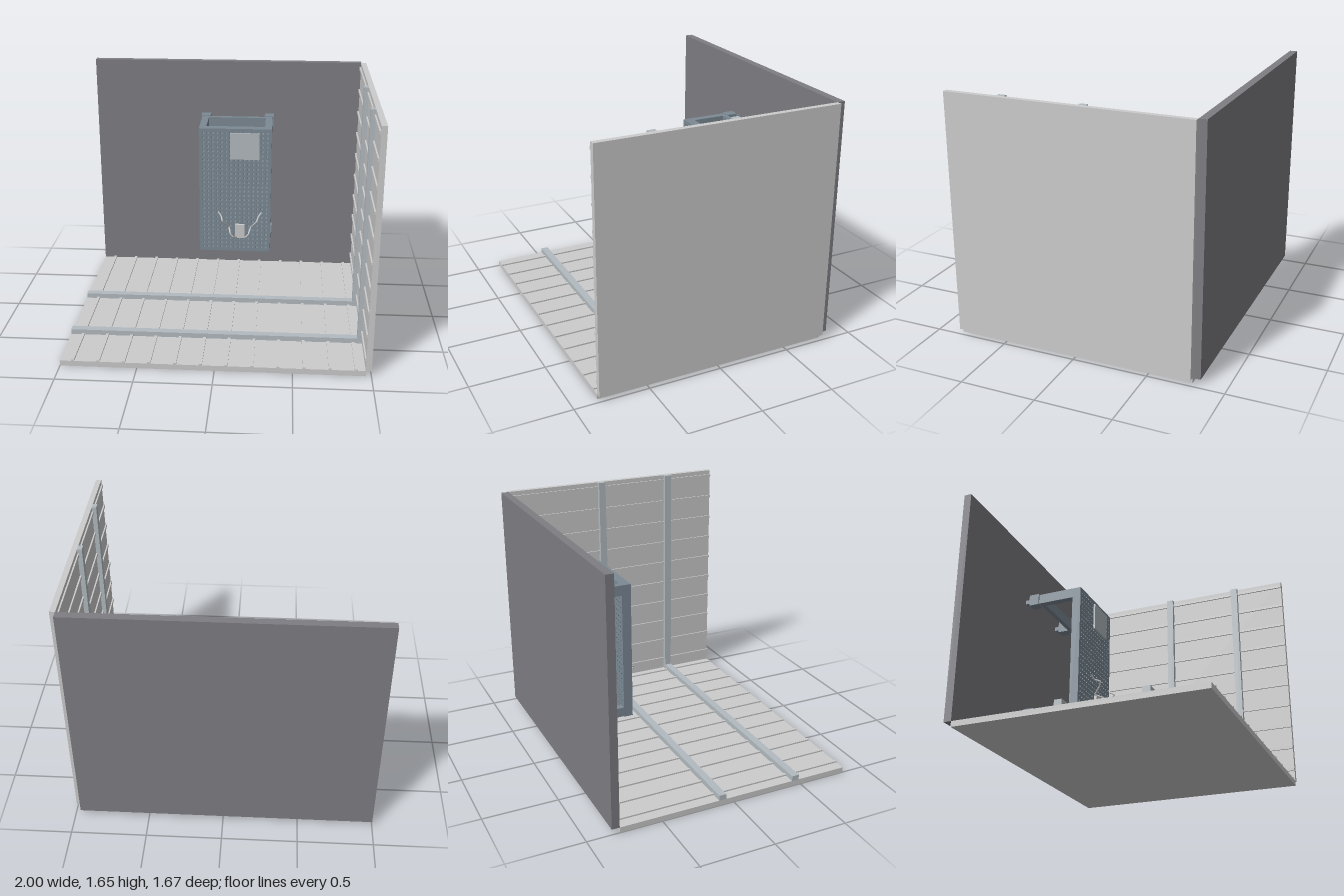
import * as THREE from 'three';

const mat = (color) => new THREE.MeshStandardMaterial({ color });
const grey = mat(0xcccccc), wallMat = mat(0x7d7d83), steel = mat(0x7c8a95), beamMat = mat(0xb3bbc0);

// Box given by its min and max along each axis
function box(parent, name, material, [x0, x1], [y0, y1], [z0, z1]) {
  const m = new THREE.Mesh(new THREE.BoxGeometry(x1 - x0, y1 - y0, z1 - z0), material);
  m.position.set((x0 + x1) / 2, (y0 + y1) / 2, (z0 + z1) / 2);
  m.name = name;
  parent.add(m);
  return m;
}

function group(parent, name) {
  const g = new THREE.Group();
  g.name = name;
  parent.add(g);
  return g;
}

// Floor, side wall and back wall, with ribs and beams on the inner faces
function buildRoom(root) {
  const room = group(root, 'room');
  const depth = [-0.785, 0.835];
  box(room, 'floor', grey, [-1, 0.965], [0, 0.037], depth);
  box(room, 'sideWall', grey, [0.963, 1], [0.037, 1.65], depth);
  box(room, 'backWall', wallMat, [-1, 0.965], [0.037, 1.65], [-0.837, -0.785]);

  for (let i = 0; i < 12; i++) {
    const x = -0.917 + i * 0.1655;
    box(room, 'floorRib', grey, [x - 0.01, x + 0.01], [0.03, 0.047], depth);
  }
  for (let i = 0; i < 10; i++) {
    const y = 0.12 + i * 0.1655;
    box(room, 'wallRib', grey, [0.953, 0.97], [y - 0.01, y + 0.01], depth);
  }
  for (const z of [-0.08, 0.46]) {
    const span = [z - 0.025, z + 0.025];
    box(room, 'floorBeam', beamMat, [-1, 0.932], [0.037, 0.072], span);
    box(room, 'wallBeam', beamMat, [0.932, 0.963], [0.037, 1.65], span);
  }
}

// Perforated panel
function buildPanel(parent) {
  const x0 = -0.195, x1 = 0.326, y0 = 0.317, y1 = 1.262, cols = 15, rows = 27;
  const s = new THREE.Shape();
  s.moveTo(x0, y0).lineTo(x1, y0).lineTo(x1, y1).lineTo(x0, y1).closePath();
  for (let c = 0; c < cols; c++) {
    for (let r = 0; r < rows; r++) {
      const x = -0.163 + c * 0.0327, y = 0.35 + r * 0.0338;
      const pts = [];
      for (let k = 0; k < 8; k++) {
        const a = -k * Math.PI / 4;
        pts.push(new THREE.Vector2(x + 0.009 * Math.cos(a), y + 0.009 * Math.sin(a)));
      }
      s.holes.push(new THREE.Path(pts));
    }
  }
  const g = new THREE.ExtrudeGeometry(s, { depth: 0.063, bevelEnabled: false });
  g.translate(0, 0, -0.408);
  const m = new THREE.Mesh(g, steel);
  m.name = 'perforatedPanel';
  parent.add(m);
}

// Frame that holds the panel off the back wall
function buildFrame(parent) {
  for (const [y0, y1] of [[0.322, 0.387], [1.192, 1.262]]) {
    for (const x of [-0.17, 0.301]) {
      box(parent, 'sideRail', steel, [x - 0.025, x + 0.025], [y0, y1], [-0.675, -0.408]);
      box(parent, 'clamp', steel, [x - 0.035, x + 0.035], [y0 - 0.007, y1 + 0.004], [-0.745, -0.672]);
      box(parent, 'wallPin', steel, [x - 0.015, x + 0.015], [y0 + 0.02, y1 - 0.02], [-0.787, -0.743]);
    }
    box(parent, 'backRail', steel, [-0.145, 0.276], [y0, y1], [-0.67, -0.638]);
  }
}

// Small bracket with two bent arms spreading upward
function buildBracket(parent) {
  const g = group(parent, 'armBracket');
  g.position.x = 0.104;
  box(g, 'bracketPlate', grey, [-0.035, 0.035], [0.44, 0.535], [-0.346, -0.325]);
  box(g, 'bracketFoot', grey, [-0.024, 0.024], [0.428, 0.442], [-0.346, -0.325]);
  const path = [[0.024, 0.43, -0.33], [0.045, 0.465, -0.258], [0.066, 0.49, -0.256],
    [0.08, 0.52, -0.32], [0.105, 0.56, -0.275], [0.125, 0.59, -0.255], [0.135, 0.61, -0.3], [0.158, 0.64, -0.315]];
  for (const side of [-1, 1]) {
    const curve = new THREE.CurvePath();
    const pts = path.map(([x, y, z]) => new THREE.Vector3(side * x, y, z));
    for (let i = 1; i < pts.length; i++) curve.add(new THREE.LineCurve3(pts[i - 1], pts[i]));
    const arm = new THREE.Mesh(new THREE.TubeGeometry(curve, 40, 0.006, 6), grey);
    arm.name = 'bentArm';
    g.add(arm);
  }
}

export function createModel() {
  const root = new THREE.Group();
  root.name = 'roomCornerWithPanel';
  buildRoom(root);
  const unit = group(root, 'panelUnit');
  buildPanel(unit);
  buildFrame(unit);
  box(unit, 'blankPlate', beamMat, [0.03, 0.24], [1.037, 1.232], [-0.346, -0.333]);
  buildBracket(unit);
  return root;
}
